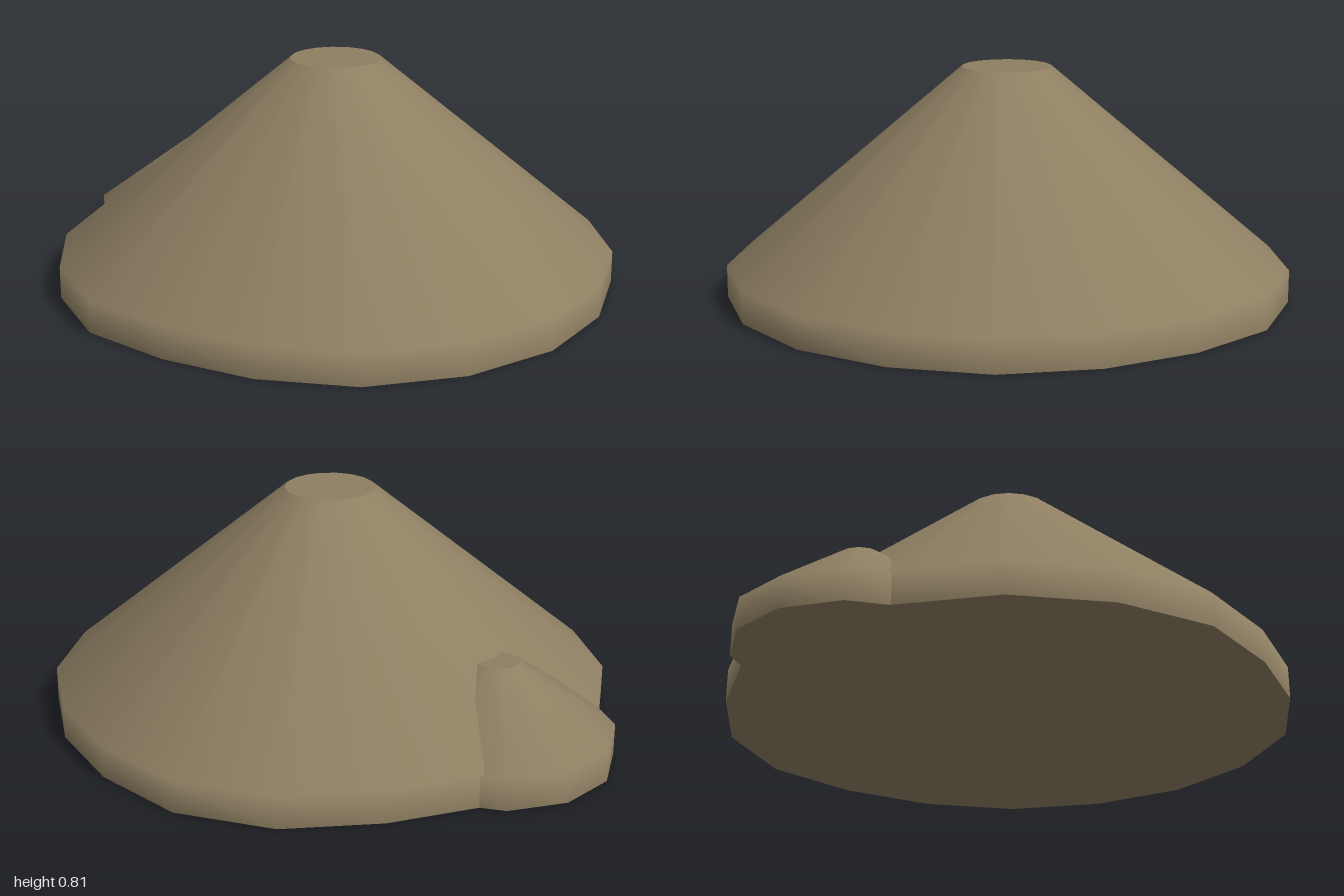
import * as THREE from 'three';
import { mergeVertices } from 'three/addons/utils/BufferGeometryUtils.js';

const earth = new THREE.MeshStandardMaterial({ color: 0x8e7f62 });
earth.name = 'earth brown';

// Uneven rim: radius factor every 20 degrees, from +x towards +z
const RIM = [1, 1, 1.01, 1.01, 1.005, 0.975, 0.965, 1, 1, 1, 0.993, 1, 0.99, 0.98, 1.015, 1.025, 0.995, 0.99];

// Pushes the outer ring in or out to follow the uneven rim
function shapeRim(geometry, rim, topRadius) {
  const p = geometry.attributes.position;
  const n = rim.length;
  for (let i = 0; i < p.count; i++) {
    const x = p.getX(i), z = p.getZ(i);
    if (Math.hypot(x, z) < topRadius + 0.01) continue;
    const k = Math.round(Math.atan2(z, x) / (2 * Math.PI) * n);
    const f = rim[(k + n) % n];
    p.setXYZ(i, x * f, p.getY(i), z * f);
  }
}

// Truncated cone on a short upright skirt, with flat top and underside
function mound(name, { radius, topRadius, skirt, height, rim }) {
  const sides = rim.length;
  const group = new THREE.Group();
  group.name = name;
  const add = (geometry, part) => {
    const mesh = new THREE.Mesh(geometry, earth);
    mesh.name = part;
    group.add(mesh);
  };

  const profile = [[radius, 0], [radius, skirt], [topRadius, height]].map(([x, y]) => new THREE.Vector2(x, y));
  let slope = new THREE.LatheGeometry(profile, sides, Math.PI / 2);
  shapeRim(slope, rim, topRadius);
  slope.deleteAttribute('normal');
  slope.deleteAttribute('uv');
  slope = mergeVertices(slope, 1e-4);
  slope.computeVertexNormals();
  add(slope, 'slope');

  add(new THREE.CircleGeometry(topRadius, sides).rotateX(-Math.PI / 2).translate(0, height, 0), 'summit');

  const underside = new THREE.CircleGeometry(radius, sides).rotateX(Math.PI / 2);
  shapeRim(underside, rim, topRadius);
  add(underside, 'underside');
  return group;
}

export function createModel() {
  const model = new THREE.Group();
  model.name = 'twinMounds';

  const main = mound('mainMound', { radius: 1, topRadius: 0.16, skirt: 0.115, height: 0.81, rim: RIM });
  model.add(main);

  // Small mound growing out of the back corner
  const side = mound('sideMound', { radius: 0.408, topRadius: 0.075, skirt: 0.11, height: 0.35, rim: Array(12).fill(1) });
  side.position.set(-0.56, 0, -0.48);
  model.add(side);
  return model;
}
